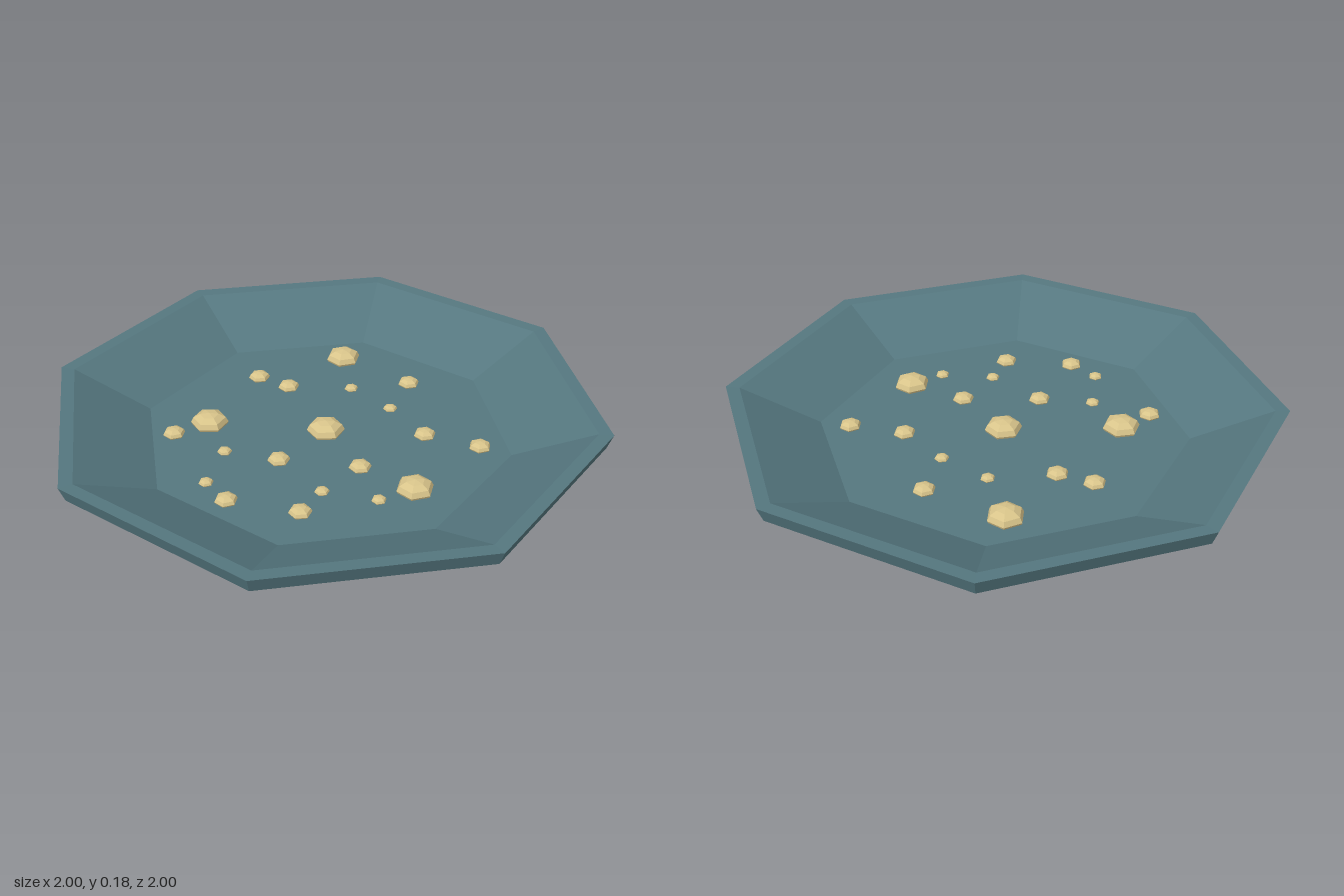
import * as THREE from 'three';

const FLOOR = 0.047;

// Unshared vertices give every facet its own normal
function faceted(geometry) {
  const flat = geometry.toNonIndexed();
  flat.computeVertexNormals();
  return flat;
}

export function createModel() {
  const model = new THREE.Group();
  model.name = 'plateWithCrumbs';

  const ceramic = new THREE.MeshStandardMaterial({ color: 0x55777f });
  ceramic.name = 'teal ceramic';
  const crumbColor = new THREE.MeshStandardMaterial({ color: 0xd8c48a });
  crumbColor.name = 'pale crumb';

  // Eight-sided plate: foot, sloping underside, rim, inner slope, floor
  const profile = [
    [0, 0], [0.66, 0], [0.66, 0.038], [0.98, 0.125], [1, 0.18],
    [0.95, 0.178], [0.665, FLOOR], [0, FLOOR],
  ].map(([r, y]) => new THREE.Vector2(r, y));
  const plate = new THREE.Mesh(faceted(new THREE.LatheGeometry(profile, 8)), ceramic);
  plate.name = 'plate';
  model.add(plate);

  // Crumbs: flattened faceted lumps resting in the floor [x, z, radius, turn]
  const crumbs = [
    [0, 0, 0.068, 0], [-0.33, -0.265, 0.068, 0], [0.33, -0.4, 0.066, 0.25], [0.065, 0.46, 0.066, 0.25],
    [-0.02, -0.45, 0.04, 0.1], [0.04, -0.33, 0.04, 0.2], [-0.47, -0.27, 0.04, 0.3],
    [0.44, -0.11, 0.04, 0.2], [-0.235, 0.07, 0.04, 0.1], [-0.5, 0.18, 0.04, 0.3],
    [-0.02, 0.255, 0.04, 0.1], [0.285, 0.21, 0.04, 0.2], [-0.325, 0.365, 0.04, 0.1],
    [0.405, 0.375, 0.04, 0.3], [0.235, -0.195, 0.026, 0.2], [-0.37, -0.075, 0.026, 0.1],
    [0.28, 0, 0.026, 0], [-0.51, 0.055, 0.026, 0.3], [-0.205, 0.305, 0.026, 0.1],
    [-0.07, 0.445, 0.026, 0.2],
  ];
  const lump = faceted(new THREE.SphereGeometry(1, 6, 6).rotateY(Math.PI / 6));
  const group = new THREE.Group();
  group.name = 'crumbs';
  crumbs.forEach(([x, z, r, turn], i) => {
    const crumb = new THREE.Mesh(lump, crumbColor);
    crumb.name = `crumb${i + 1}`;
    crumb.position.set(x, FLOOR + r * 0.13, z);
    crumb.scale.set(r, r * 0.55, r);
    crumb.rotation.y = turn;
    group.add(crumb);
  });
  model.add(group);

  return model;
}
